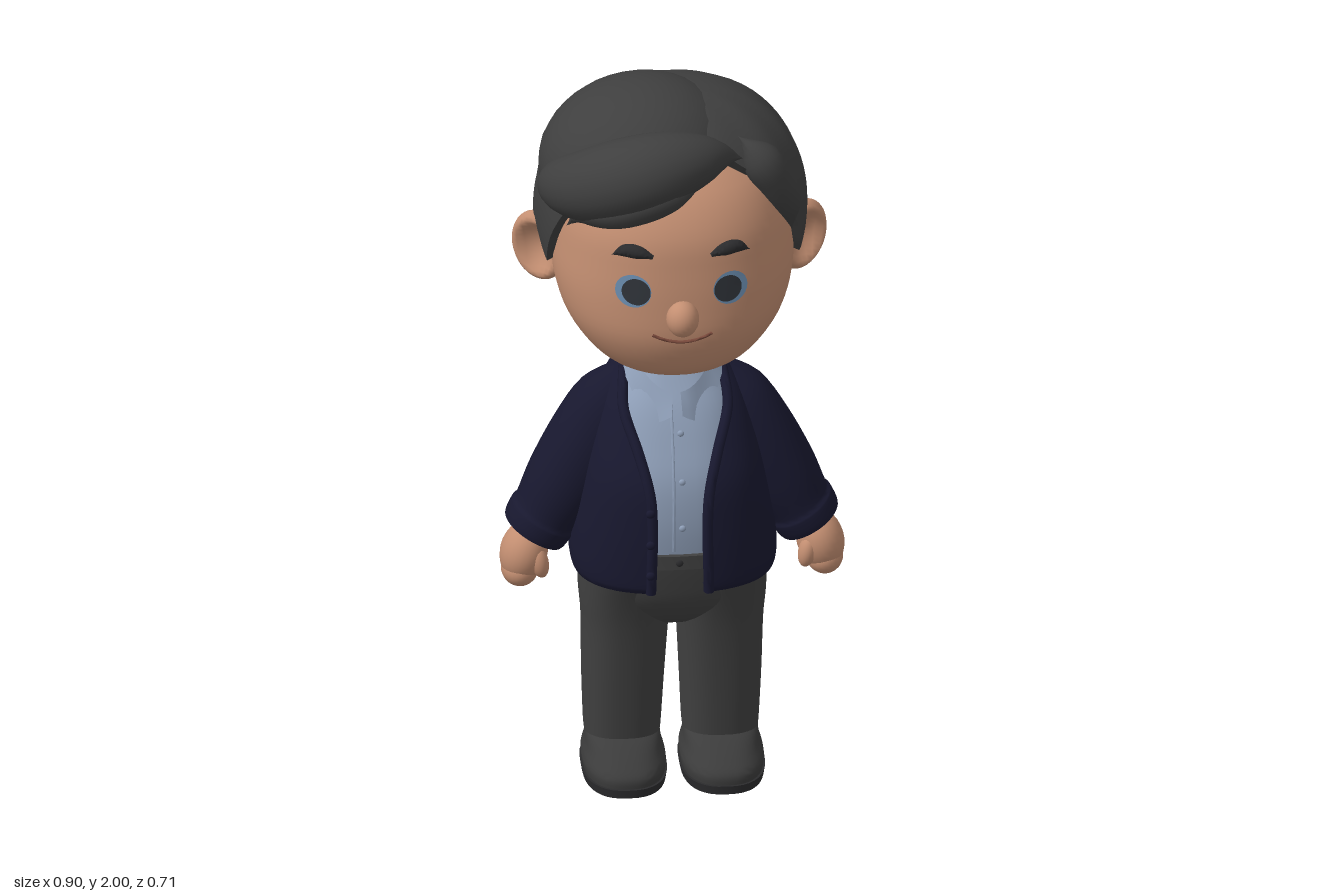
import * as THREE from 'three';
import { toCreasedNormals } from 'three/addons/utils/BufferGeometryUtils.js';

const mat = (name, color, side = THREE.FrontSide) => {
  const m = new THREE.MeshStandardMaterial({ color, side });
  m.name = name;
  return m;
};

// Surface from a rule f(i, j); columns wrap round when closed.
function grid(rows, cols, f, closed = true) {
  const pos = [], idx = [], n = closed ? cols : cols + 1;
  for (let i = 0; i <= rows; i++) for (let j = 0; j < n; j++) pos.push(...f(i, j));
  for (let i = 0; i < rows; i++) for (let j = 0; j < cols; j++) {
    const a = i * n + j, b = i * n + (j + 1) % n;
    idx.push(a, b, a + n, b, b + n, a + n);
  }
  const g = new THREE.BufferGeometry();
  g.setAttribute('position', new THREE.Float32BufferAttribute(pos, 3));
  g.setIndex(idx);
  return toCreasedNormals(g, 0.9);
}

// Smooth interpolation of every column of a table of rows.
function spline(rows) {
  const curves = rows[0].map((_, k) => new THREE.SplineCurve(rows.map((r, i) => new THREE.Vector2(i, r[k] ?? 0))));
  return t => curves.map(c => c.getPoint(t).y);
}

// Upright body from rows [y, half width, back z, front z, centre x, front gap], lowest first.
function loft(rows, p = 2.5, steps = 4, cols = 40) {
  const at = spline(rows), n = (rows.length - 1) * steps, open = (rows[0][5] ?? 0) > 0;
  const pw = v => Math.sign(v) * Math.abs(v) ** (2 / p);
  return grid(n + 2, cols, (i, j) => {
    const [y, rx, zb, zf, cx = 0, gap = 0] = at(THREE.MathUtils.clamp((i - 1) / n, 0, 1));
    const s = i === 0 || i === n + 2 ? 0 : 1;
    const a0 = gap > 0 ? Math.asin(Math.min(1, (gap / rx) ** (p / 2))) : 0;
    const a = a0 + (2 * Math.PI - 2 * a0) * j / cols;
    return [cx + s * rx * pw(Math.sin(a)), y, (zf + zb) / 2 + s * (zf - zb) / 2 * pw(Math.cos(a))];
  }, !open);
}

// Round strand along points [x, y, z, radius].
function sweep(pts, steps = 24, cols = 14) {
  const path = new THREE.CatmullRomCurve3(pts.map(p => new THREE.Vector3(p[0], p[1], p[2])));
  const fr = path.computeFrenetFrames(steps), rad = spline(pts.map(p => [p[3]]));
  return grid(steps, cols, (i, j) => {
    const a = j / cols * Math.PI * 2, r = Math.max(0, rad(i / steps)[0]);
    return path.getPoint(path.getUtoTmapping(i / steps)).clone()
      .addScaledVector(fr.normals[i], r * Math.cos(a))
      .addScaledVector(fr.binormals[i], r * Math.sin(a)).toArray();
  });
}

export function createModel() {
  const skin = mat('skin', 0xc48f72), hair = mat('hair', 0x3f3f3f), navy = mat('navy knit', 0x18182f, THREE.DoubleSide);
  const shirt = mat('blue shirt', 0x8f9fb8, THREE.DoubleSide), cloth = mat('charcoal cloth', 0x414141);
  const leather = mat('shoe leather', 0x3c3c3c), dark = mat('dark', 0x2b2b2d);
  const iris = mat('iris blue', 0x6c8fb2, THREE.DoubleSide), pupil = mat('pupil', 0x30343a, THREE.DoubleSide);
  const lip = mat('mouth', 0x7a4a3c);
  const model = new THREE.Group();
  const add = (name, geo, m, parent = model) => {
    const mesh = new THREE.Mesh(geo, m);
    mesh.name = name;
    parent.add(mesh);
    return mesh;
  };
  const ball = (name, m, p, s, parent) => {
    const b = add(name, new THREE.SphereGeometry(1, 24, 16), m, parent);
    b.position.set(...p);
    b.scale.set(...s);
    return b;
  };
  // Front z of a mesh at x, y.
  const frontZ = (mesh, x, y) => {
    const ray = new THREE.Raycaster(new THREE.Vector3(x, y, 2), new THREE.Vector3(0, 0, -1));
    return ray.intersectObject(mesh)[0]?.point.z ?? 0;
  };

  // Head and neck
  const head = add('head', loft([
    [1.215, 0.07, -0.03, 0.13], [1.24, 0.15, -0.1, 0.2], [1.29, 0.22, -0.18, 0.26], [1.38, 0.282, -0.235, 0.302],
    [1.48, 0.312, -0.275, 0.307], [1.58, 0.313, -0.3, 0.302], [1.68, 0.298, -0.29, 0.288],
    [1.78, 0.25, -0.24, 0.23], [1.87, 0.13, -0.14, 0.12]], 2.15, 4, 56), skin);
  add('neck', new THREE.CylinderGeometry(0.09, 0.1, 0.2, 28), skin).position.set(0, 1.18, -0.01);
  ball('nose', skin, [0, 1.46, 0.308], [0.043, 0.05, 0.046]);

  // Face details, laid on the head
  const onHead = (x, y, r, lift = 0) => [x, y, frontZ(head, x, y) + lift, r];
  for (const s of [-1, 1]) {
    for (const [name, m, x, r, lift] of [['iris', iris, 0.127, 0.046, 0.004], ['pupil', pupil, 0.12, 0.037, 0.007]]) {
      const disc = new THREE.CircleGeometry(r, 24).translate(s * x, 1.535, 0), p = disc.attributes.position;
      for (let i = 0; i < p.count; i++) p.setZ(i, frontZ(head, p.getX(i), p.getY(i)) + lift);
      disc.computeVertexNormals();
      add(name, disc, m);
    }
    add('eyebrow', sweep([onHead(s * 0.075, 1.633, 0.006), onHead(s * 0.105, 1.643, 0.018),
      onHead(s * 0.145, 1.645, 0.016), onHead(s * 0.182, 1.625, 0)]), dark);

    // Ear with a hollow in its front face
    const e = new THREE.SphereGeometry(1, 24, 20), p = e.attributes.position;
    for (let i = 0; i < p.count; i++) {
      const rr = p.getX(i) ** 2 + p.getY(i) ** 2;
      if (p.getZ(i) > 0) p.setZ(i, p.getZ(i) - 1.3 * Math.max(0, 1 - rr * 1.6));
    }
    e.scale(0.078, 0.1, 0.042).rotateY(s * 0.6).rotateZ(-s * 0.12);
    e.computeVertexNormals();
    add('ear', e, skin).position.set(s * 0.342, 1.512, -0.045);
  }
  add('mouth', sweep([-0.078, -0.06, -0.03, 0, 0.03, 0.06, 0.078].map(x =>
    onHead(x, 1.39 + 3.4 * x * x, 0.0045))), lip);

  // Hair cap, cut along a hairline given as [degrees from front, y]
  const line = [[0, 1.84], [28, 1.84], [42, 1.78], [54, 1.69], [63, 1.61], [70, 1.54], [76, 1.5], [81, 1.53],
    [86, 1.61], [95, 1.6], [102, 1.47], [110, 1.39], [125, 1.34], [150, 1.31], [181, 1.305]];
  const edgeY = deg => {
    const k = line.findIndex(l => l[0] > deg), [a, b] = [line[k - 1], line[k]];
    return THREE.MathUtils.lerp(a[1], b[1], (deg - a[0]) / (b[0] - a[0]));
  };
  add('hairCap', grid(30, 120, (i, j) => {
    const th = (j / 120) * Math.PI * 2, deg = Math.min(180, Math.abs(th > Math.PI ? th - 2 * Math.PI : th) * 180 / Math.PI);
    const dy = edgeY(deg) - 1.63;
    const end = Math.acos(THREE.MathUtils.clamp(dy / (dy > 0 ? 0.335 : 0.36), -1, 1));
    const phi = end * (1 - Math.max(0, i - 2) / 28);
    const d = [Math.sin(th) * Math.sin(phi), Math.cos(phi), Math.cos(th) * Math.sin(phi)];
    const round = d.reduce((s, v) => s + Math.abs(v) ** 2.2, 0) ** (-1 / 2.2);
    const wave = 1 + 0.009 * Math.sin(phi) ** 2 * Math.sin(th * 11 + phi * 4);
    const k = round * wave * (i === 0 ? 0.78 : i === 1 ? 0.96 : 1);
    return [0.355 * d[0] * k, 1.63 + (d[1] > 0 ? 0.335 : 0.36) * d[1] * k, -0.04 + (d[2] > 0 ? 0.29 : 0.312) * d[2] * k];
  }), hair);
  // Volume swept to one side of the parting, and the quiff
  ball('hairSweep', hair, [-0.085, 1.78, -0.005], [0.265, 0.215, 0.25]).rotation.z = 0.16;
  add('quiff', sweep([[0.17, 1.85, 0.17, 0], [0.11, 1.875, 0.2, 0.062], [0, 1.875, 0.235, 0.098], [-0.12, 1.845, 0.238, 0.107],
    [-0.23, 1.795, 0.18, 0.095], [-0.3, 1.75, 0.08, 0.065], [-0.32, 1.7, -0.02, 0]], 32, 20), hair);
  add('quiffLock', sweep([[0.08, 1.84, 0.24, 0], [-0.03, 1.81, 0.278, 0.045], [-0.15, 1.765, 0.265, 0.052],
    [-0.25, 1.725, 0.2, 0.04], [-0.29, 1.67, 0.16, 0]]), hair);
  add('sideLock', sweep([[0.16, 1.9, 0.14, 0], [0.2, 1.86, 0.15, 0.05], [0.25, 1.78, 0.14, 0.05],
    [0.29, 1.69, 0.12, 0.035], [0.305, 1.6, 0.1, 0]]), hair);

  // Shirt
  const torso = add('shirt', loft([[0.68, 0.2, -0.16, 0.205], [0.8, 0.2, -0.16, 0.22], [0.92, 0.19, -0.15, 0.213],
    [1.02, 0.18, -0.14, 0.178], [1.1, 0.163, -0.13, 0.142], [1.16, 0.13, -0.125, 0.105], [1.2, 0.105, -0.12, 0.08]]), shirt);
  const ys = [0.73, 0.8, 0.88, 0.96, 1.04, 1.12];
  add('placket', sweep(ys.map(y => [-0.014, y, frontZ(torso, -0.014, y), 0.004])), shirt);
  for (const y of [0.8, 0.93, 1.05]) ball('shirtButton', shirt, [0.008, y, frontZ(torso, 0, y)], [0.009, 0.009, 0.006]);
  // Folded collar with two front points
  add('collar', grid(3, 48, (i, j) => {
    const a = 0.1 + (2 * Math.PI - 0.2) * j / 48, f = Math.min(a, 2 * Math.PI - a), t = 1 - i / 3;
    const front = Math.max(0, Math.cos(a)) ** 1.5;
    const top = 1.238 - 0.085 * front, drop = 0.05 + 0.055 * Math.max(0, 1 - Math.abs(f - 0.55) / 0.5);
    const rx = 0.108 + 0.03 * t, rz = 0.115 + 0.03 * t + 0.022 * front;
    return [rx * Math.sin(a), top - drop * t, -0.005 + rz * Math.cos(a)];
  }, false), shirt);

  // Cardigan with open front
  const body = add('cardigan', loft([[0.628, 0.235, -0.18, 0.215, 0, 0.066], [0.62, 0.262, -0.204, 0.238, 0, 0.066],
    [0.68, 0.27, -0.21, 0.245, 0, 0.064], [0.8, 0.256, -0.195, 0.246, 0, 0.06], [0.92, 0.236, -0.18, 0.235, 0, 0.07],
    [1.02, 0.215, -0.17, 0.19, 0, 0.1], [1.1, 0.19, -0.162, 0.142, 0, 0.128], [1.16, 0.157, -0.152, 0.09, 0, 0.122],
    [1.205, 0.11, -0.138, 0.04, 0, 0.095]], 2.5, 5, 56), navy);
  const edge = [[0.62, 0.076], [0.7, 0.074], [0.8, 0.072], [0.9, 0.077], [1, 0.102], [1.1, 0.136], [1.15, 0.133]];
  for (const s of [-1, 1]) {
    add('cardiganTrim', sweep([...edge.map(([y, x]) => [s * x, y, frontZ(body, s * x, y) - 0.003, 0.014]),
      [s * 0.12, 1.19, -0.01, 0.014], [s * 0.085, 1.205, -0.1, 0.014], [0, 1.208, -0.132, 0.014]], 40, 10), navy);
  }
  for (const y of [0.68, 0.77, 0.86]) ball('cardiganButton', navy, [-0.078, y, frontZ(body, -0.078, y) + 0.01], [0.012, 0.012, 0.008]);

  // Arms, legs and shoes, mirrored
  for (const s of [1, -1]) {
    const side = new THREE.Group();
    side.name = s > 0 ? 'leftLimbs' : 'rightLimbs';
    side.scale.x = s;
    model.add(side);

    const sleeve = add('sleeve', loft([[-0.445, 0.068, -0.075, 0.075], [-0.46, 0.086, -0.097, 0.097], [-0.415, 0.092, -0.104, 0.104],
      [-0.395, 0.088, -0.1, 0.1], [-0.3, 0.103, -0.11, 0.108], [-0.16, 0.11, -0.115, 0.105],
      [-0.04, 0.1, -0.105, 0.085], [0.05, 0.05, -0.06, 0.04]], 2.1), navy, side);
    sleeve.position.set(0.13, 1.1, -0.01);
    sleeve.rotation.z = 0.522;

    ball('palm', skin, [0.387, 0.645, 0.005], [0.062, 0.083, 0.07], side).rotation.z = 0.25;
    ball('fingers', skin, [0.398, 0.598, 0.005], [0.049, 0.048, 0.062], side);
    ball('thumb', skin, [0.35, 0.63, 0.045], [0.024, 0.045, 0.028], side).rotation.z = -0.2;

    add('trouserLeg', loft([[0.095, 0.096, -0.15, 0.078, 0.128], [0.12, 0.1, -0.152, 0.082, 0.128], [0.28, 0.107, -0.147, 0.108, 0.127],
      [0.44, 0.113, -0.142, 0.137, 0.124], [0.53, 0.12, -0.158, 0.16, 0.124], [0.63, 0.122, -0.175, 0.195, 0.123]]), cloth, side);
    add('shoe', loft([[0.02, 0.106, -0.162, 0.183, 0.128], [0.05, 0.109, -0.165, 0.182, 0.128], [0.08, 0.1, -0.16, 0.15, 0.128],
      [0.11, 0.096, -0.156, 0.105, 0.128], [0.125, 0.085, -0.14, 0.07, 0.128]]), leather, side);
    add('sole', loft([[0, 0.108, -0.165, 0.187, 0.128], [0.024, 0.112, -0.168, 0.19, 0.128]], 2.5, 1), dark, side);
  }

  // Hips and waistband
  add('hips', loft([[0.46, 0.19, -0.1, 0.09], [0.5, 0.225, -0.14, 0.14], [0.56, 0.243, -0.17, 0.18],
    [0.63, 0.245, -0.18, 0.2], [0.69, 0.235, -0.175, 0.212]]), cloth);
  add('waistband', loft([[0.68, 0.23, -0.175, 0.222], [0.72, 0.225, -0.17, 0.224]], 2.5, 1), cloth);
  ball('waistButton', dark, [0, 0.7, 0.222], [0.01, 0.01, 0.006]);
  return model;
}
